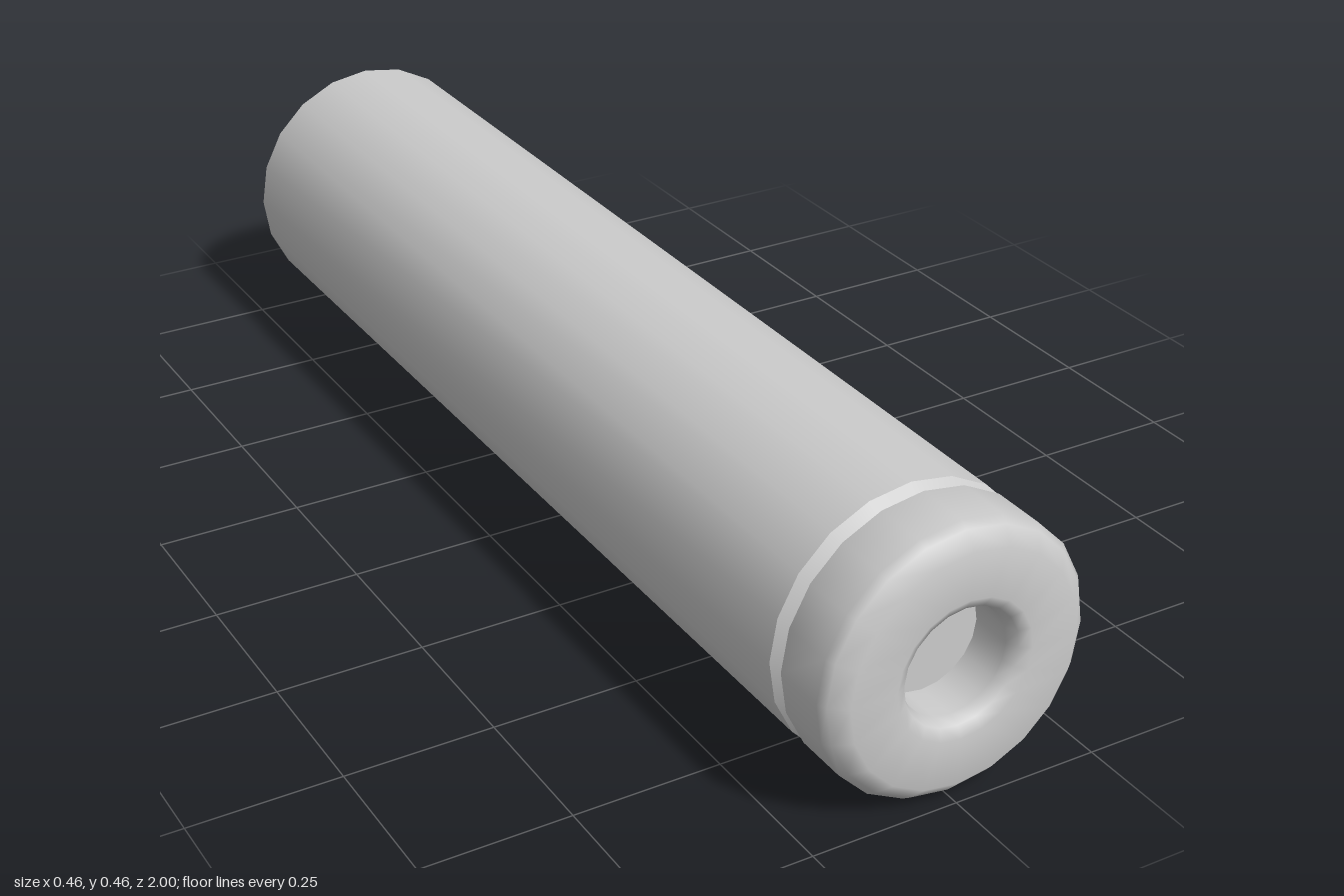
import * as THREE from 'three';

const SIDES = 20;
const R = 0.2315;

export function createModel() {
  const model = new THREE.Group();
  const material = new THREE.MeshStandardMaterial({ color: 0xcccccc });

  // Turned surface about the z axis from [radius, z] points, ordered back to front on the outside
  function turned(name, profile) {
    const geometry = new THREE.LatheGeometry(profile.map(([r, z]) => new THREE.Vector2(r, z)), SIDES);
    geometry.rotateX(Math.PI / 2);
    const mesh = new THREE.Mesh(geometry, material);
    mesh.name = name;
    mesh.position.y = R;
    model.add(mesh);
  }

  // Shallow spherical dimple in the back end
  const dimpleRadius = 0.108, dimpleDepth = 0.05;
  const sphere = (dimpleRadius ** 2 + dimpleDepth ** 2) / (2 * dimpleDepth);
  const sweep = Math.asin(dimpleRadius / sphere);
  const dimple = [];
  for (let i = 0; i <= 5; i++) {
    const a = (sweep * i) / 5;
    dimple.push([sphere * Math.sin(a), -1 + dimpleDepth - sphere * (1 - Math.cos(a))]);
  }
  turned('backDimple', dimple);
  turned('backFace', [[dimpleRadius, -1], [R, -1]]);

  // Long straight body
  turned('body', [[R, -1], [R, 0.845]]);

  // V-groove separating body and front cap
  turned('grooveBackWall', [[R, 0.845], [0.215, 0.86]]);

  // Softly shaded front cap: groove wall, side, chamfer, face and rounded bore
  turned('frontCap', [
    [0.215, 0.86], [R, 0.875], [R, 0.965], [0.222, 0.978], [0.197, 1],
    [0.118, 1], [0.1, 0.99], [0.092, 0.97], [0.092, 0.9],
  ]);
  turned('boreFloor', [[0.092, 0.9], [0, 0.9]]);

  return model;
}
